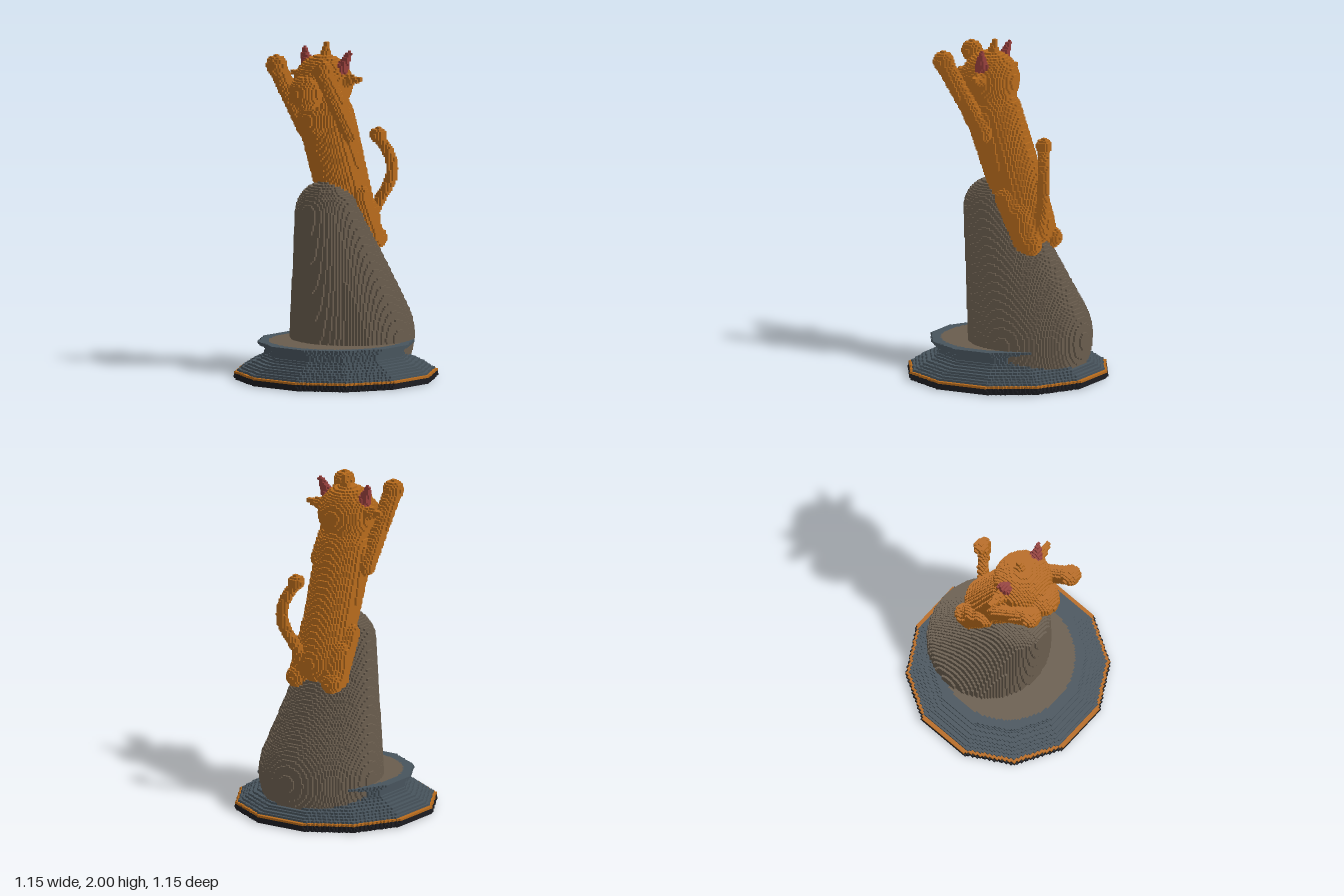
import * as THREE from 'three';

const H = 0.0125;                 // cube size
const N = [96, 160, 96];          // grid cells in x, y, z
const ORIGIN = [-0.6, 0, -0.6];

const material = (name, color) => {
  const m = new THREE.MeshStandardMaterial({ color });
  m.name = name;
  return m;
};

// Inside test for a limb with round ends: a, b are centres, ra, rb radii
function limb(a, ra, b, rb) {
  const d = [b[0] - a[0], b[1] - a[1], b[2] - a[2]];
  const len = Math.hypot(...d) || 1e-6;
  const [dx, dy, dz] = d.map((v) => v / len);
  const k = (rb - ra) / len;
  const lean = k / Math.sqrt(Math.max(1e-6, 1 - k * k));
  return (x, y, z) => {
    const px = x - a[0], py = y - a[1], pz = z - a[2];
    const s0 = px * dx + py * dy + pz * dz;
    const off = Math.sqrt(Math.max(0, px * px + py * py + pz * pz - s0 * s0));
    const s = Math.min(len, Math.max(0, s0 + lean * off));
    return Math.hypot(off, s - s0) < ra + k * s;
  };
}

const ball = (x, y, z, r) => (px, py, pz) => Math.hypot(px - x, py - y, pz - z) < r;
const either = (...tests) => (x, y, z) => tests.some((t) => t(x, y, z));
const mirrored = (test) => (x, y, z) => test(Math.abs(x), y, z);

// Twelve-sided base: distance to the flats, and its moulded outline (y, distance)
const DIRS = [0, 1, 2, 3, 4, 5].map((k) => [Math.cos(k * Math.PI / 6), Math.sin(k * Math.PI / 6)]);
const OUTLINE = [[0, 0.562], [0.02, 0.578], [0.045, 0.572], [0.06, 0.55], [0.1, 0.49], [0.125, 0.435],
  [0.15, 0.405], [0.185, 0.4], [0.2, 0.415], [0.212, 0.445], [0.225, 0.445]];
function outlineAt(y) {
  for (let i = 1; i < OUTLINE.length; i++) {
    const [y0, r0] = OUTLINE[i - 1], [y1, r1] = OUTLINE[i];
    if (y <= y1) return r0 + (r1 - r0) * (y - y0) / (y1 - y0);
  }
  return 0;
}
const baseBand = (low, high) => (x, y, z) => {
  if (y < low || y > high) return false;
  const r = outlineAt(y);
  return DIRS.every(([c, s]) => Math.abs(x * c + z * s) < r);
};

// Tail: short limbs along a curve
function tailTest() {
  const curve = new THREE.CatmullRomCurve3([[0.06, 0.92, -0.24], [0.1, 1.04, -0.285], [0.155, 1.16, -0.318],
    [0.155, 1.27, -0.322], [0.115, 1.36, -0.3], [0.085, 1.41, -0.285]].map((p) => new THREE.Vector3(...p)));
  const pts = curve.getPoints(10).map((p) => p.toArray());
  const pieces = pts.slice(1).map((p, i) => limb(pts[i], 0.03, p, 0.03));
  const all = either(...pieces, ball(0.085, 1.415, -0.285, 0.044));
  return (x, y, z) => z < -0.19 && x > 0 && y > 0.88 && y < 1.5 && all(x, y, z);
}

// Turns the cells of one part into cube faces, joining equal faces in rows
function cubeGeometry(grid, id) {
  const pos = [], nor = [];
  const stride = [1, N[0], N[0] * N[1]];
  const at = (c) => (c.some((v, i) => v < 0 || v >= N[i]) ? 0 : grid[c[0] + c[1] * stride[1] + c[2] * stride[2]]);
  for (let a = 0; a < 3; a++) {
    const u = (a + 1) % 3, v = (a + 2) % 3;
    for (const side of [1, -1]) {
      const normal = [0, 0, 0];
      normal[a] = side;
      const open = (c) => {
        if (at(c) !== id) return false;
        c[a] += side;
        const free = at(c) === 0;
        c[a] -= side;
        return free;
      };
      const c = [0, 0, 0];
      for (let i = 0; i < N[a]; i++) for (let j = 0; j < N[v]; j++) {
        let start = -1;
        for (let k = 0; k <= N[u]; k++) {
          c[a] = i; c[v] = j; c[u] = k;
          const show = k < N[u] && open(c);
          if (show && start < 0) start = k;
          if (show || start < 0) continue;
          const corner = (pu, pv) => {
            const p = [0, 0, 0];
            p[a] = i + (side > 0 ? 1 : 0); p[u] = pu; p[v] = pv;
            return p.map((w, n) => ORIGIN[n] + w * H);
          };
          const q = [corner(start, j), corner(k, j), corner(k, j + 1), corner(start, j + 1)];
          if (side < 0) q.reverse();
          for (const n of [0, 1, 2, 0, 2, 3]) { pos.push(...q[n]); nor.push(...normal); }
          start = -1;
        }
      }
    }
  }
  const g = new THREE.BufferGeometry();
  g.setAttribute('position', new THREE.Float32BufferAttribute(pos, 3));
  g.setAttribute('normal', new THREE.Float32BufferAttribute(nor, 3));
  return g;
}

export function createModel() {
  const orange = material('orange fur', 0xb86b1c);
  const red = material('ear red', 0x963f3c);
  const brown = material('rock brown', 0x6a5d4e);
  const slate = material('slate blue', 0x48545d);
  const dark = material('dark underside', 0x1c1c21);

  // Earlier parts win where parts overlap
  const parts = [
    ['ears', red, mirrored(limb([0.125, 1.85, 0.105], 0.038, [0.17, 1.945, 0.085], 0.012))],
    ['headTufts', orange, either(
      limb([0, 1.9, 0.1], 0.035, [0, 1.992, 0.09], 0.011),
      mirrored(limb([0.15, 1.785, 0.1], 0.04, [0.25, 1.8, 0.09], 0.014)))],
    ['head', orange, ball(0, 1.76, 0.118, 0.168)],
    ['muzzle', orange, ball(0, 1.72, 0.27, 0.1)],
    ['arms', orange, mirrored(either(
      limb([0.165, 1.465, 0.07], 0.049, [0.175, 1.87, 0.335], 0.049),
      ball(0.175, 1.875, 0.335, 0.058)))],
    ['body', orange, either(
      limb([0, 0.93, -0.135], 0.15, [0, 1.55, 0.09], 0.162),
      limb([0, 1.55, 0.09], 0.15, [0, 1.72, 0.12], 0.13),
      ball(0, 1.55, 0.155, 0.12))],
    ['hindLegs', orange, mirrored(either(
      limb([0.13, 1.09, -0.055], 0.06, [0.125, 0.83, -0.18], 0.065),
      limb([0.125, 0.83, -0.16], 0.06, [0.125, 0.82, -0.222], 0.06),
      limb([0.1, 0.98, -0.13], 0.09, [0.1, 0.85, -0.18], 0.075)))],
    ['tail', orange, tailTest()],
    ['rock', brown, limb([0, 0.25, -0.15], 0.36, [0, 0.995, 0.085], 0.18)],
    ['groundDisc', brown, (x, y, z) => y > 0.2125 && y < 0.225 && Math.hypot(x, z) < 0.392],
    ['baseFoot', dark, baseBand(0, 0.0375)],
    ['baseStripe', orange, baseBand(0.0375, 0.05)],
    ['base', slate, baseBand(0.05, 0.225)],
  ];

  // Fill the grid with part numbers
  const grid = new Uint8Array(N[0] * N[1] * N[2]);
  let n = 0;
  for (let k = 0; k < N[2]; k++) for (let j = 0; j < N[1]; j++) for (let i = 0; i < N[0]; i++) {
    const x = ORIGIN[0] + (i + 0.5) * H, y = (j + 0.5) * H, z = ORIGIN[2] + (k + 0.5) * H;
    grid[n++] = parts.findIndex((p) => p[2](x, y, z)) + 1;
  }

  const model = new THREE.Group();
  model.name = 'catOnRock';
  parts.forEach(([name, mat], i) => {
    const mesh = new THREE.Mesh(cubeGeometry(grid, i + 1), mat);
    mesh.name = name;
    model.add(mesh);
  });
  return model;
}
